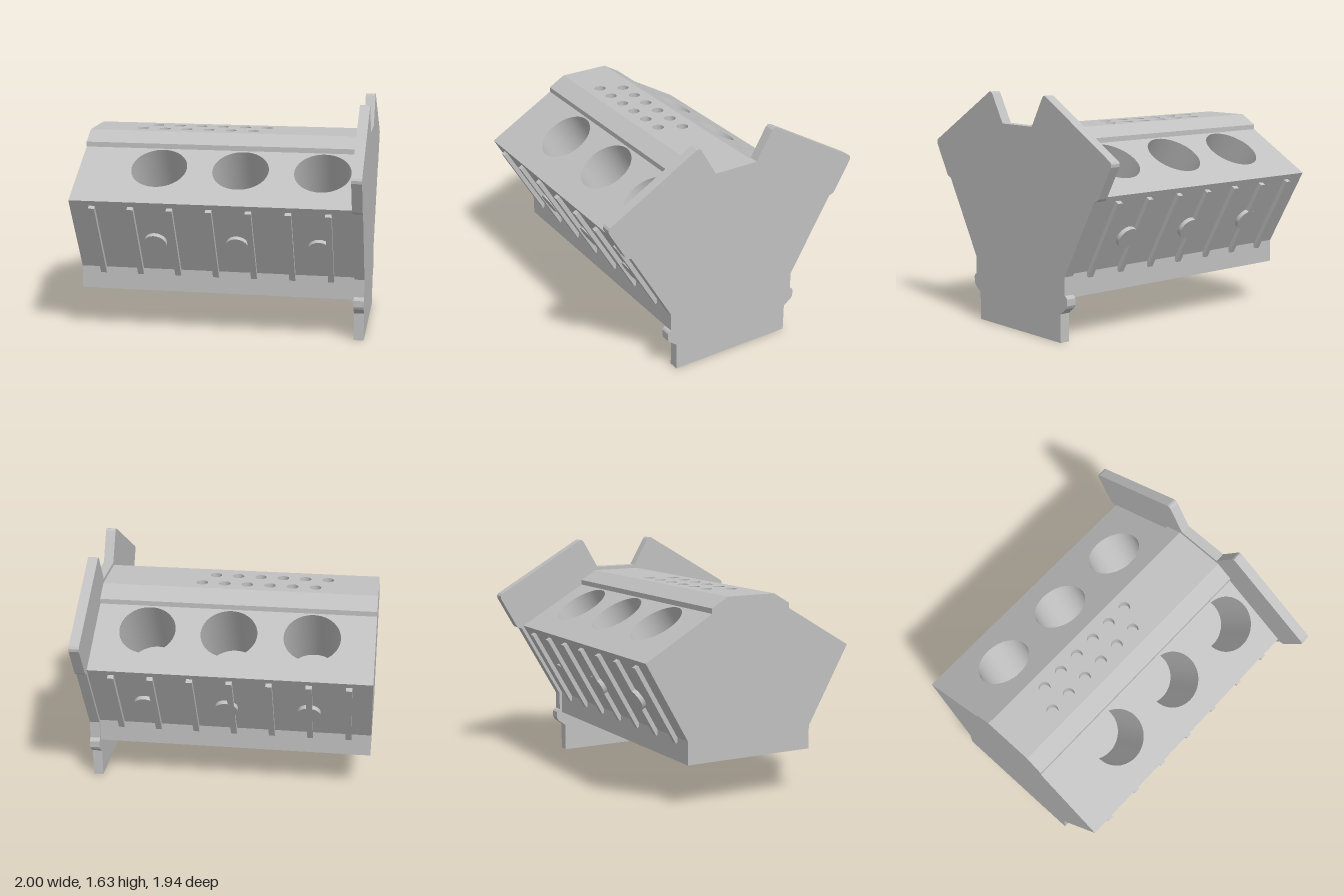
import * as THREE from 'three';

const X0 = -1, X1 = 0.93, SEG = 24;
const BORE_R = 0.195, BORE_DEPTH = 0.475;

export function createModel() {
  const model = new THREE.Group();
  model.name = 'engineBlock';
  const metal = new THREE.MeshStandardMaterial({ color: 0xc0c0c0, side: THREE.DoubleSide });
  metal.name = 'castGrey';

  const add = (parent, name, geometry, x = 0, y = 0, z = 0) => {
    const mesh = new THREE.Mesh(geometry, metal);
    mesh.name = name;
    mesh.position.set(x, y, z);
    parent.add(mesh);
    return mesh;
  };

  // Flat wall along x between two [z, y] profile points, pierced by blind holes.
  // Local axes: x along the block, y from a to b, z outward.
  function wall(name, a, b, holes = []) {
    const along = new THREE.Vector3(0, b[1] - a[1], b[0] - a[0]);
    const length = along.length();
    along.normalize();
    const xAxis = new THREE.Vector3(1, 0, 0);
    const group = new THREE.Group();
    group.name = name;
    group.quaternion.setFromRotationMatrix(
      new THREE.Matrix4().makeBasis(xAxis, along, xAxis.clone().cross(along)));
    group.position.set(0, a[1], a[0]);
    const shape = new THREE.Shape([[X0, 0], [X1, 0], [X1, length], [X0, length]]
      .map(p => new THREE.Vector2(...p)));
    for (const h of holes) {
      shape.holes.push(new THREE.Path().absarc(h.x, h.s, h.r, 0, Math.PI * 2, true));
      const tube = new THREE.CylinderGeometry(h.r, h.r, h.depth, SEG * 2, 1, true).rotateX(Math.PI / 2);
      add(group, h.name + 'Wall', tube, h.x, h.s, -h.depth / 2);
      add(group, h.name + 'Floor', new THREE.CircleGeometry(h.r, SEG * 2), h.x, h.s, -h.depth);
    }
    add(group, name + 'Face', new THREE.ShapeGeometry(shape, SEG));
    model.add(group);
    return { group, length };
  }

  // Front half of the block section, bottom to top; the back half mirrors it
  const half = [[0.48, 0.3], [0.48, 0.46], [0.79, 1.0], [0.3, 1.285], [0.3, 1.32], [0.18, 1.39]];
  const mirror = p => [-p[0], p[1]];
  const names = ['skirt', 'crankcaseSide', 'cylinderDeck', 'deckStep', 'valleySlope'];
  const boreX = { front: [-0.435, 0.135, 0.7], back: [-0.57, 0, 0.565] };

  for (const side of ['front', 'back']) {
    const isFront = side === 'front';
    names.forEach((name, i) => {
      const a = isFront ? half[i] : mirror(half[i + 1]);
      const b = isFront ? half[i + 1] : mirror(half[i]);
      const deckLength = Math.hypot(0.49, 0.285);
      const holes = name !== 'cylinderDeck' ? [] : boreX[side].map(x => (
        { name: 'cylinderBore', x, s: isFront ? 0.36 : deckLength - 0.36, r: BORE_R, depth: BORE_DEPTH }));
      const { group, length } = wall(side + '_' + name, a, b, holes);

      if (name === 'crankcaseSide') {
        const up = s => (isFront ? s : length - s);
        // Stiffening ribs
        for (let k = 0; k < 7; k++) {
          add(group, 'rib', new THREE.BoxGeometry(0.042, 0.61, 0.04), -0.842 + k * 0.2687, up(0.275), 0.01);
        }
        // Round plugs, one under each bore
        for (const x of boreX[side]) {
          const plug = new THREE.CylinderGeometry(0.08, 0.08, 0.04, SEG * 2).rotateX(Math.PI / 2);
          add(group, 'plug', plug, x, up(0.265), 0.01);
        }
      }
    });
  }

  // Top of the valley with two staggered rows of small holes
  const pinHoles = [];
  for (let k = 0; k < 6; k++) {
    pinHoles.push({ name: 'valleyHole', x: -0.64 + k * 0.16, s: 0.11, r: 0.04, depth: 0.06 });
    pinHoles.push({ name: 'valleyHole', x: -0.56 + k * 0.16, s: 0.26, r: 0.04, depth: 0.06 });
  }
  wall('valleyTop', half[5], mirror(half[5]), pinHoles);
  wall('underside', mirror(half[0]), half[0]);

  // Closed symmetric outline in (z, y)
  const outline = pts => new THREE.Shape([...pts, ...pts.map(mirror).reverse()]
    .map(p => new THREE.Vector2(...p)));

  // Flat end of the block
  add(model, 'endFace', new THREE.ShapeGeometry(outline(half)).rotateY(-Math.PI / 2), X0);

  // Large mounting plate at the other end
  const plate = [
    [0.455, 0], [0.455, 0.195], [0.515, 0.24], [0.525, 0.26], [0.525, 0.305], [0.515, 0.318],
    [0.5, 0.325], [0.5, 0.45], [0.785, 0.945], [0.805, 0.98], [0.835, 0.99], [0.845, 1.0],
    [0.968, 1.215], [0.97, 1.235], [0.96, 1.25], [0.312, 1.624], [0.295, 1.627], [0.28, 1.615],
    [0.163, 1.415],
  ];
  const plateGeometry = new THREE.ExtrudeGeometry(outline(plate), { depth: 1 - X1, bevelEnabled: false });
  add(model, 'mountingPlate', plateGeometry.rotateY(-Math.PI / 2), 1);

  return model;
}
